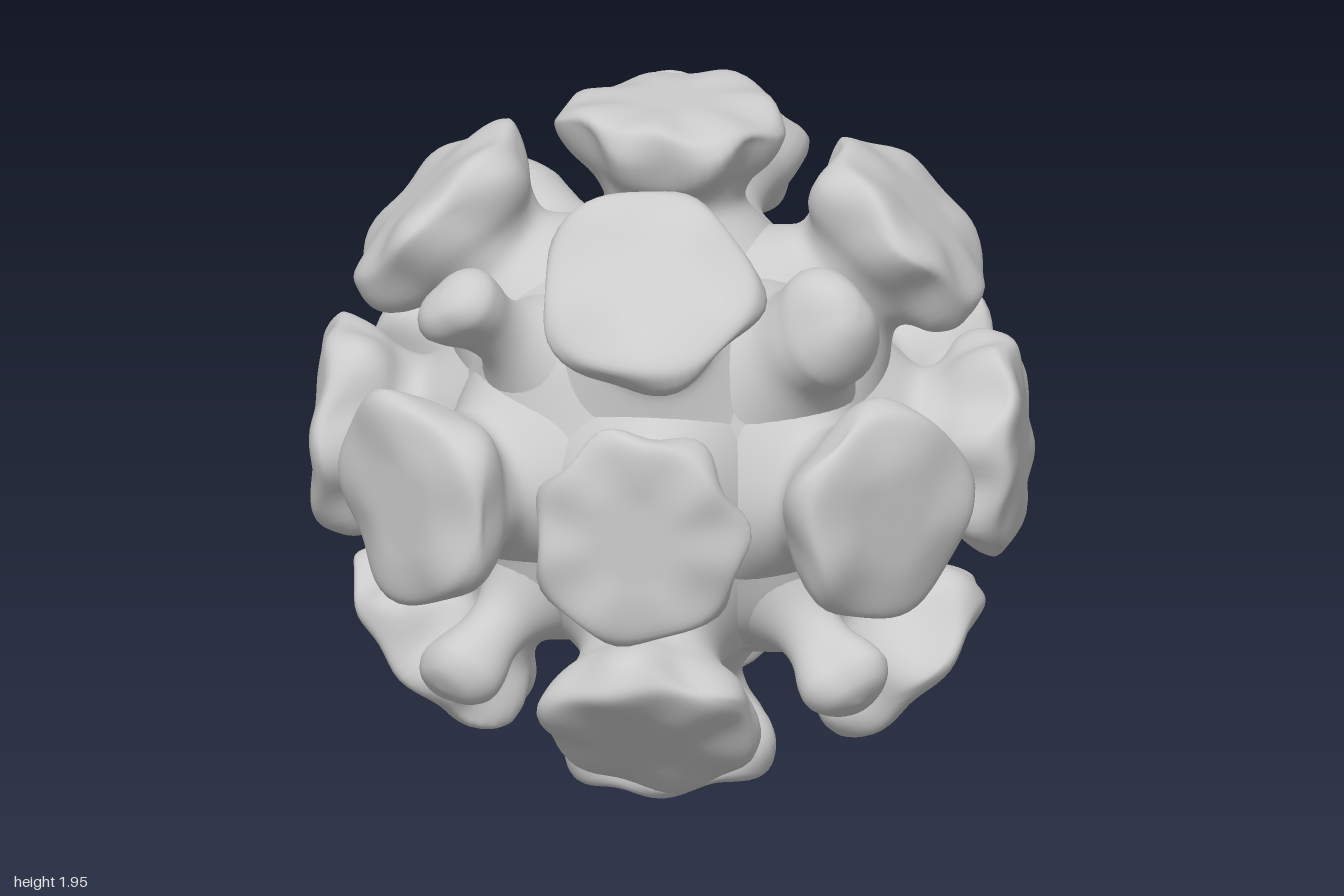
import * as THREE from 'three';
import { mergeVertices } from 'three/addons/utils/BufferGeometryUtils.js';

const material = new THREE.MeshStandardMaterial({ color: 0xcccccc });
const UP = new THREE.Vector3(0, 1, 0);

// Small seeded generator for the lumps
function seeded(seed) {
  let s = seed * 7919 + 17;
  const next = () => (s = (s * 16807) % 2147483647) / 2147483647;
  next();
  return next;
}

const smooth = (a, b, x) => THREE.MathUtils.smoothstep(x, a, b);

// Smooth lathe around +y, from [radius, height] points
function turned(points, rows, sides) {
  const curve = new THREE.SplineCurve(points.map(([r, h]) => new THREE.Vector2(r, h)));
  const profile = curve.getPoints(rows);
  profile.forEach((p) => { p.x = Math.max(p.x, 0); });
  profile[rows].x = 0;
  const geometry = new THREE.LatheGeometry(profile, sides);
  geometry.deleteAttribute('uv');
  geometry.deleteAttribute('normal');
  return mergeVertices(geometry, 1e-4);
}

// Moves every vertex by a rule from radius, angle and height to radius and height
function reshape(geometry, rule) {
  const p = geometry.attributes.position;
  for (let i = 0; i < p.count; i++) {
    const x = p.getX(i), z = p.getZ(i), a = Math.atan2(x, z);
    const [r, h] = rule(Math.hypot(x, z), a, p.getY(i));
    p.setXYZ(i, r * Math.sin(a), h, r * Math.cos(a));
  }
  geometry.computeVertexNormals();
  return geometry;
}

// Wide club: flared root, short neck, thick lumpy cap with drooping corners
function clubGeometry(seed) {
  const rnd = seeded(seed);
  const lobes = 5 + Math.floor(rnd() * 3);
  const [a, b, c, d] = [0, 0, 0, 0].map(() => rnd() * Math.PI * 2);
  const profile = [[0.34, 0.5], [0.25, 0.6], [0.195, 0.675], [0.21, 0.74], [0.258, 0.8],
    [0.288, 0.86], [0.296, 0.91], [0.272, 0.948], [0.18, 0.966], [0.09, 0.968], [0, 0.968]];
  return reshape(turned(profile, 44, 60), (r, t, h) => {
    const head = smooth(0.68, 0.86, h);
    const rim = smooth(0.1, 0.29, r) * head;
    const corner = Math.cos(lobes * t + a);
    const flank = head * (1 - smooth(0.87, 0.95, h));
    const radius = r * (1 + head * (0.022 * corner + 0.022 * Math.cos(2 * t + b) + 0.02 * Math.cos(3 * t + c))
      + flank * 0.05 * corner + (1 - head) * 0.05 * Math.cos(3 * t + d));
    const height = h - rim * (0.016 * Math.cos(2 * t + c) + 0.01 * Math.cos(lobes * t + d))
      - flank * 0.03 * Math.cos(3 * t + a);
    return [radius, height];
  });
}

// Slim knob with a rounded tip, and broad knob like a blunt cone
const SLIM = [[0.27, 0.5], [0.16, 0.62], [0.1, 0.71], [0.088, 0.79], [0.105, 0.87],
  [0.108, 0.93], [0.07, 0.98], [0, 0.995]];
const BROAD = [[0.3, 0.5], [0.21, 0.62], [0.165, 0.7], [0.155, 0.78], [0.15, 0.84],
  [0.115, 0.91], [0.06, 0.965], [0, 0.98]];

function knobGeometry(seed, profile) {
  const rnd = seeded(seed);
  const [a, b] = [rnd() * 6.28, rnd() * 6.28];
  return reshape(turned(profile, 30, 32), (r, t, h) => {
    const head = smooth(0.7, 0.9, h);
    return [r * (1 + head * (0.14 * Math.cos(2 * t + a) + 0.07 * Math.cos(3 * t + b))),
      h + head * 0.12 * r * Math.cos(t + b)];
  });
}

// Round core that swells softly towards every root
function coreGeometry(directions) {
  let geometry = new THREE.SphereGeometry(1, 96, 64);
  geometry.deleteAttribute('uv');
  geometry.deleteAttribute('normal');
  geometry = mergeVertices(geometry, 1e-4);
  const p = geometry.attributes.position, v = new THREE.Vector3();
  for (let i = 0; i < p.count; i++) {
    v.fromBufferAttribute(p, i).normalize();
    const swell = directions.reduce((sum, d) => sum + Math.exp(-((v.angleTo(d) / 0.27) ** 2)), 0);
    v.multiplyScalar(0.61 + 0.075 * Math.min(swell, 1.2));
    p.setXYZ(i, v.x, v.y, v.z);
  }
  geometry.computeVertexNormals();
  return geometry;
}

// Direction from azimuth (from +z towards +x) and elevation, in degrees
function direction(azimuth, elevation) {
  const az = THREE.MathUtils.degToRad(azimuth), el = THREE.MathUtils.degToRad(elevation);
  return new THREE.Vector3(Math.sin(az) * Math.cos(el), Math.sin(el), Math.cos(az) * Math.cos(el));
}

export function createModel() {
  const group = new THREE.Group();
  group.name = 'spikedBall';
  group.position.y = 1;
  const directions = [];

  const add = (name, geometry, azimuth, elevation) => {
    const mesh = new THREE.Mesh(geometry, material);
    const axis = direction(azimuth, elevation);
    mesh.name = name;
    mesh.quaternion.setFromUnitVectors(UP, axis);
    directions.push(axis);
    group.add(mesh);
  };

  // Pole clubs
  let seed = 1;
  add('topClub', clubGeometry(seed++), 0, 90);
  add('bottomClub', clubGeometry(seed++), 0, -90);

  // Equator clubs, all turned 10 degrees from the axes
  for (let i = 0; i < 8; i++) add('equatorClub', clubGeometry(seed++), -10 + 45 * i, 0);

  // Upper and lower rows: clubs on the diagonals, knobs between them
  for (let i = 0; i < 4; i++) {
    for (const side of [1, -1]) {
      const row = side > 0 ? 'upper' : 'lower';
      add(row + 'Club', clubGeometry(seed++), 35 + 90 * i, 44 * side);
      const profile = side > 0 && i % 2 === 0 ? BROAD : SLIM;
      add(row + 'Knob', knobGeometry(seed++, profile), -10 + 90 * i, 35 * side);
    }
  }

  const core = new THREE.Mesh(coreGeometry(directions), material);
  core.name = 'core';
  group.add(core);
  return group;
}
